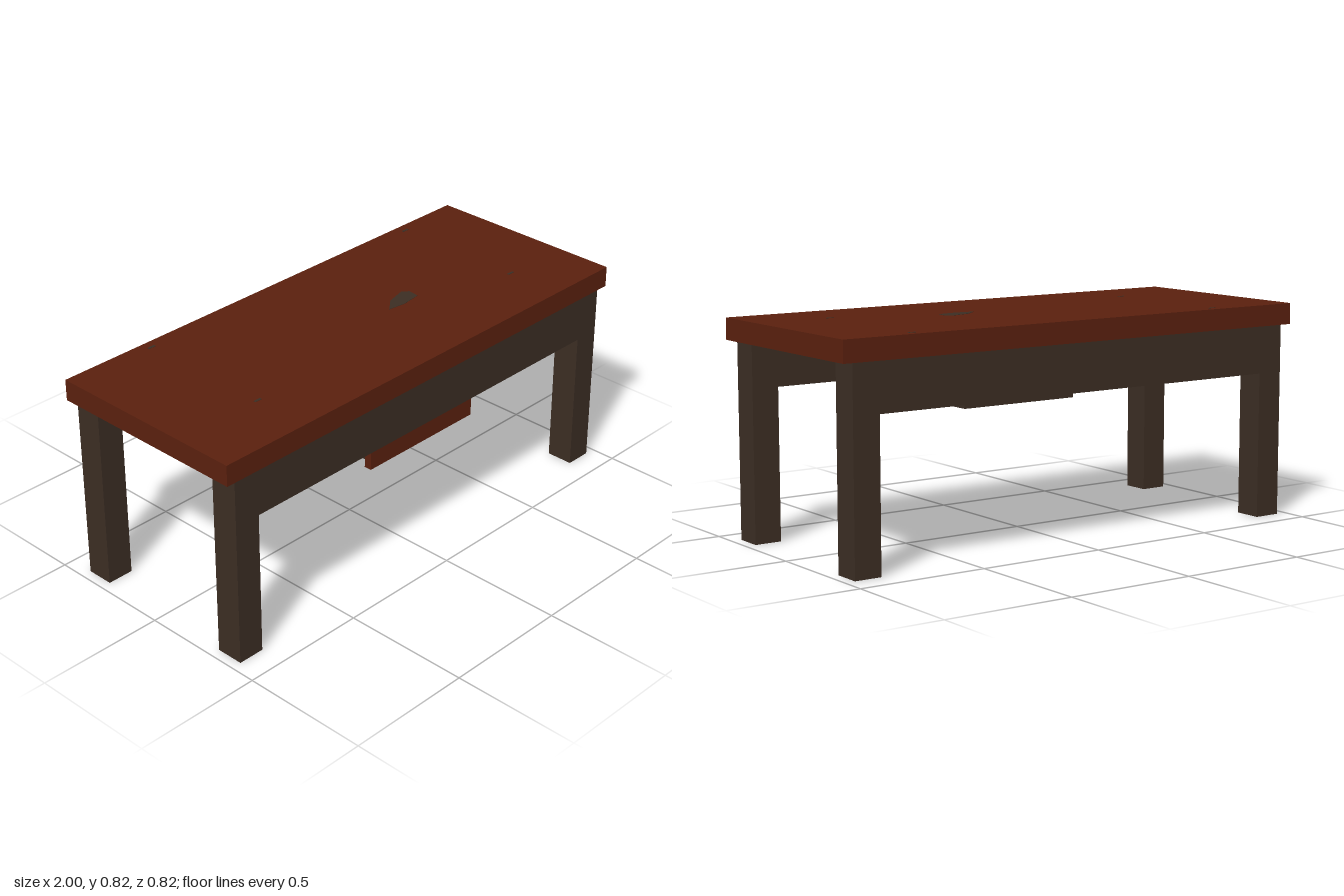
import * as THREE from 'three';

export function createModel() {
  const model = new THREE.Group();
  model.name = 'desk';

  const redWood = new THREE.MeshStandardMaterial({ color: 0x5a200e });
  redWood.name = 'red wood';
  const darkWood = new THREE.MeshStandardMaterial({ color: 0x3b2d23 });
  darkWood.name = 'dark wood';

  // Box given by its lower and upper corner
  function box(name, material, [x0, y0, z0], [x1, y1, z1]) {
    const mesh = new THREE.Mesh(new THREE.BoxGeometry(x1 - x0, y1 - y0, z1 - z0), material);
    mesh.position.set((x0 + x1) / 2, (y0 + y1) / 2, (z0 + z1) / 2);
    mesh.name = name;
    model.add(mesh);
  }

  const topBottom = 0.742, topSurface = 0.823;
  box('tabletop', redWood, [-1, topBottom, -0.408], [1, topSurface, 0.408]);

  // Four legs, with a long rail flush with the outer face at front and back
  for (const side of [-1, 1]) {
    const end = side > 0 ? 'front' : 'back';
    const [z0, z1] = side > 0 ? [0.292, 0.4] : [-0.4, -0.292];
    box(end + 'RightLeg', darkWood, [-0.96, 0, z0], [-0.855, topBottom, z1]);
    box(end + 'LeftLeg', darkWood, [0.855, 0, z0], [0.96, topBottom, z1]);
    const [r0, r1] = side > 0 ? [0.365, 0.4] : [-0.4, -0.365];
    box(end + 'Rail', darkWood, [-0.855, 0.56, r0], [0.855, topBottom, r1]);
  }

  // Drawer hanging behind the front rail
  box('drawerBox', darkWood, [-0.25, 0.475, -0.018], [0.25, 0.62, 0.335]);
  box('drawerFront', redWood, [-0.27, 0.46, 0.335], [0.27, 0.635, 0.365]);

  // Dark knot in the wood, showing above and below
  const knot = new THREE.Shape([
    [0.165, -0.045], [0.24, -0.055], [0.32, -0.045], [0.325, 0], [0.3, 0.02], [0.22, 0]
  ].map(([x, y]) => new THREE.Vector2(x, y)));
  for (const [name, y] of [['upperKnot', topSurface], ['lowerKnot', topBottom - 0.001]]) {
    const geometry = new THREE.ExtrudeGeometry(knot, { depth: 0.001, bevelEnabled: false });
    const mesh = new THREE.Mesh(geometry.rotateX(-Math.PI / 2), darkWood);
    mesh.position.y = y;
    mesh.name = name;
    model.add(mesh);
  }

  // Small marks on the tabletop
  for (const x of [-0.635, 0.705])
    for (const z of [-0.37, 0.175])
      box('topMark', darkWood, [x - 0.015, topSurface, z - 0.005], [x + 0.015, topSurface + 0.001, z + 0.005]);

  return model;
}
